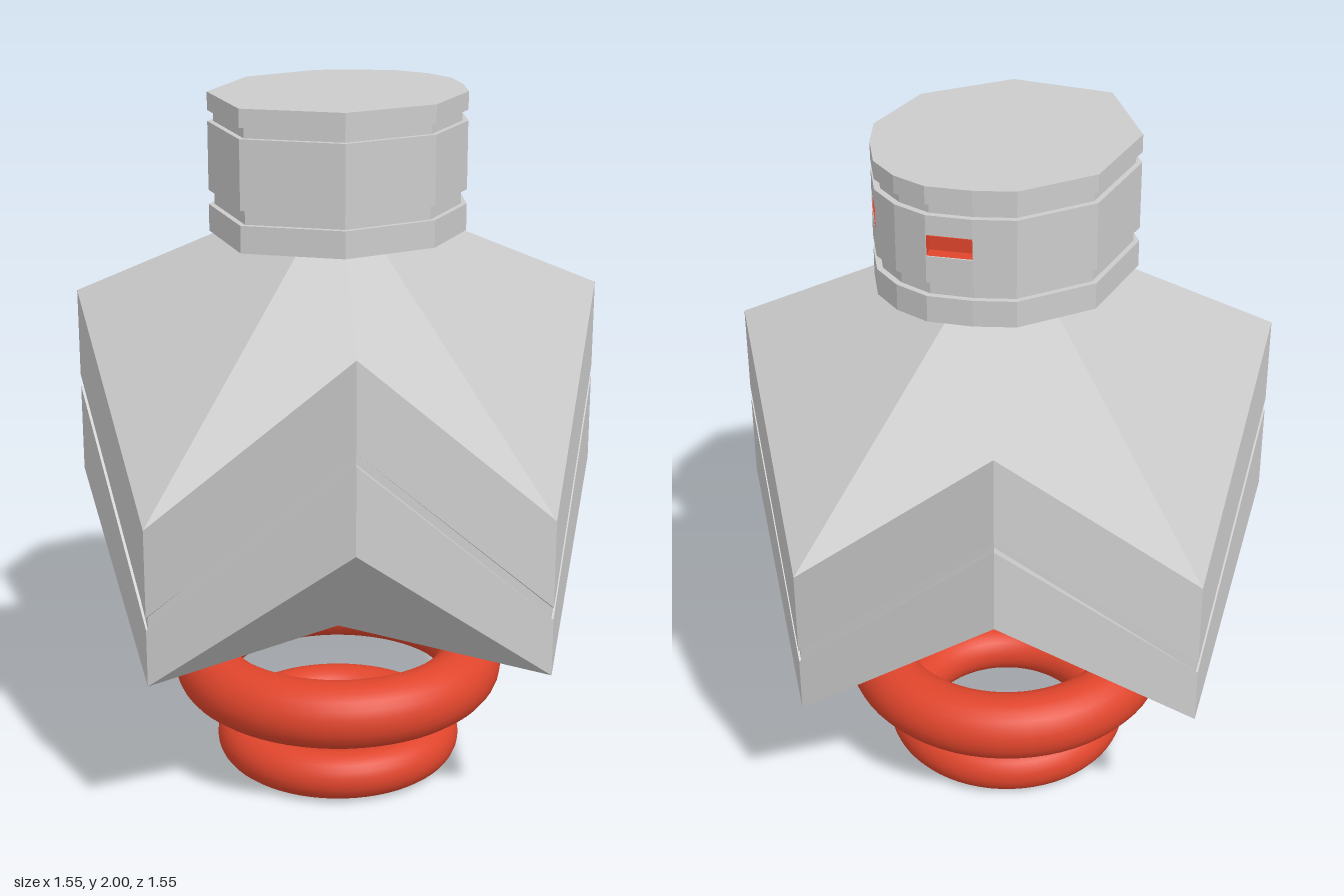
import * as THREE from 'three';

const grey = new THREE.MeshStandardMaterial({ color: 0xcccccc });
const red = new THREE.MeshStandardMaterial({ color: 0xe0452c });
const redThin = new THREE.MeshStandardMaterial({ color: 0xe0452c, side: THREE.DoubleSide });

// Quads split along corners 0-2, each shaded with a single facet normal
function quadGeometry(quads) {
  const pos = [], nor = [];
  for (const q of quads) {
    const n = q[2].clone().sub(q[0]).cross(q[3].clone().sub(q[1])).normalize();
    for (const i of [0, 1, 2, 0, 2, 3]) {
      pos.push(q[i].x, q[i].y, q[i].z);
      nor.push(n.x, n.y, n.z);
    }
  }
  const g = new THREE.BufferGeometry();
  g.setAttribute('position', new THREE.Float32BufferAttribute(pos, 3));
  g.setAttribute('normal', new THREE.Float32BufferAttribute(nor, 3));
  return g;
}

function addMesh(parent, name, geometry, material) {
  const mesh = new THREE.Mesh(geometry, material);
  mesh.name = name;
  parent.add(mesh);
  return mesh;
}

// Eight-cornered zigzag ring: corners on the axes sit low, diagonal corners sit high
function zigzagRing(axisR, axisY, diagXZ, diagY) {
  return Array.from({ length: 8 }, (_, i) => {
    const a = i * Math.PI / 4;
    const r = i % 2 ? diagXZ * Math.SQRT2 : axisR;
    return new THREE.Vector3(Math.sin(a) * r, i % 2 ? diagY : axisY, Math.cos(a) * r);
  });
}

function bodyGeometry() {
  const rings = [
    zigzagRing(0.775, 0.94, 0.515, 1.45),
    zigzagRing(0.775, 0.69, 0.515, 1.205), // chevron groove
    zigzagRing(0.768, 0.69, 0.5, 1.205),
    zigzagRing(0.768, 0.655, 0.5, 1.17),
    zigzagRing(0.775, 0.655, 0.515, 1.17),
    zigzagRing(0.775, 0.49, 0.515, 0.925),
  ];
  const quads = [];
  for (let r = 0; r < rings.length - 1; r++) {
    for (let i = 0; i < 8; i++) {
      const j = (i + 1) % 8;
      quads.push([rings[r][i], rings[r + 1][i], rings[r + 1][j], rings[r][j]]);
    }
  }
  // Roof and underside: one folded facet per quadrant
  const apex = new THREE.Vector3(0, 1.75, 0), base = new THREE.Vector3(0, 0.41, 0);
  const top = rings[0], low = rings[rings.length - 1];
  for (let i = 0; i < 8; i += 2) {
    const k = (i + 2) % 8;
    quads.push([apex, top[i], top[i + 1], top[k]]);
    quads.push([base, low[k], low[i + 1], low[i]]);
  }
  return quadGeometry(quads);
}

// Head outline, half of it mirrored; the finer sides face +x
const half = [[0.37, 0.1], [0.3, 0.2], [0.22, 0.28], [0, 0.345], [-0.255, 0.25]];
const notchedHalf = [[0.37, 0.1], [0.341, 0.08], [0.271, 0.18], ...half.slice(1)];

function headSlice(points, y0, y1, scale) {
  const mirrored = points.map(([x, z]) => [x, -z]).reverse();
  const outline = [[0.387, 0], ...points, [-0.39, 0], ...mirrored];
  const shape = new THREE.Shape(outline.map(([x, z]) => new THREE.Vector2(x * scale, z * scale)));
  const g = new THREE.ExtrudeGeometry(shape, { depth: y1 - y0, bevelEnabled: false });
  return g.rotateX(-Math.PI / 2).translate(0, y0, 0);
}

// Red lining of an eye slot
function eyeGeometry(side) {
  const y0 = 1.807, y1 = 1.863;
  const loop = [[0.369, 0.102], [0.342, 0.081], [0.272, 0.179], [0.299, 0.198]];
  const at = y => loop.map(([x, z]) => new THREE.Vector3(x, y, z * side));
  const lo = at(y0), hi = at(y1);
  const quads = [lo, hi];
  for (let i = 0; i < 3; i++) quads.push([lo[i], lo[i + 1], hi[i + 1], hi[i]]);
  // Wind every face toward the inside of the slot
  const centre = new THREE.Vector3(0.32, 1.835, 0.14 * side);
  for (const q of quads) {
    const n = q[2].clone().sub(q[0]).cross(q[3].clone().sub(q[1]));
    if (n.dot(centre.clone().sub(q[0])) < 0) q.reverse();
  }
  return quadGeometry(quads);
}

export function createModel() {
  const model = new THREE.Group();
  model.name = 'hoveringRobot';

  addMesh(model, 'body', bodyGeometry(), grey);

  // Head stacked from slices: grooves are narrower, the eye slice is notched
  const head = new THREE.Group();
  head.name = 'head';
  model.add(head);
  const slices = [
    ['headRim', half, 1.615, 1.69, 1],
    ['headGroove', half, 1.69, 1.73, 0.955],
    ['headBand', half, 1.73, 1.805, 1],
    ['eyeBand', notchedHalf, 1.805, 1.865, 1],
    ['headBand', half, 1.865, 1.92, 1],
    ['headGroove', half, 1.92, 1.95, 0.955],
    ['headCap', half, 1.95, 2, 1],
  ];
  for (const [name, points, y0, y1, scale] of slices) {
    addMesh(head, name, headSlice(points, y0, y1, scale), grey);
  }
  for (const side of [1, -1]) {
    addMesh(head, side > 0 ? 'frontEye' : 'backEye', eyeGeometry(side), redThin);
  }

  // Hover rings under the body
  for (const [name, radius, tube, y] of [['upperRing', 0.387, 0.096, 0.31], ['lowerRing', 0.29, 0.071, 0.072]]) {
    const ring = addMesh(model, name, new THREE.TorusGeometry(radius, tube, 24, 64), red);
    ring.rotation.x = Math.PI / 2;
    ring.position.y = y;
  }
  return model;
}
